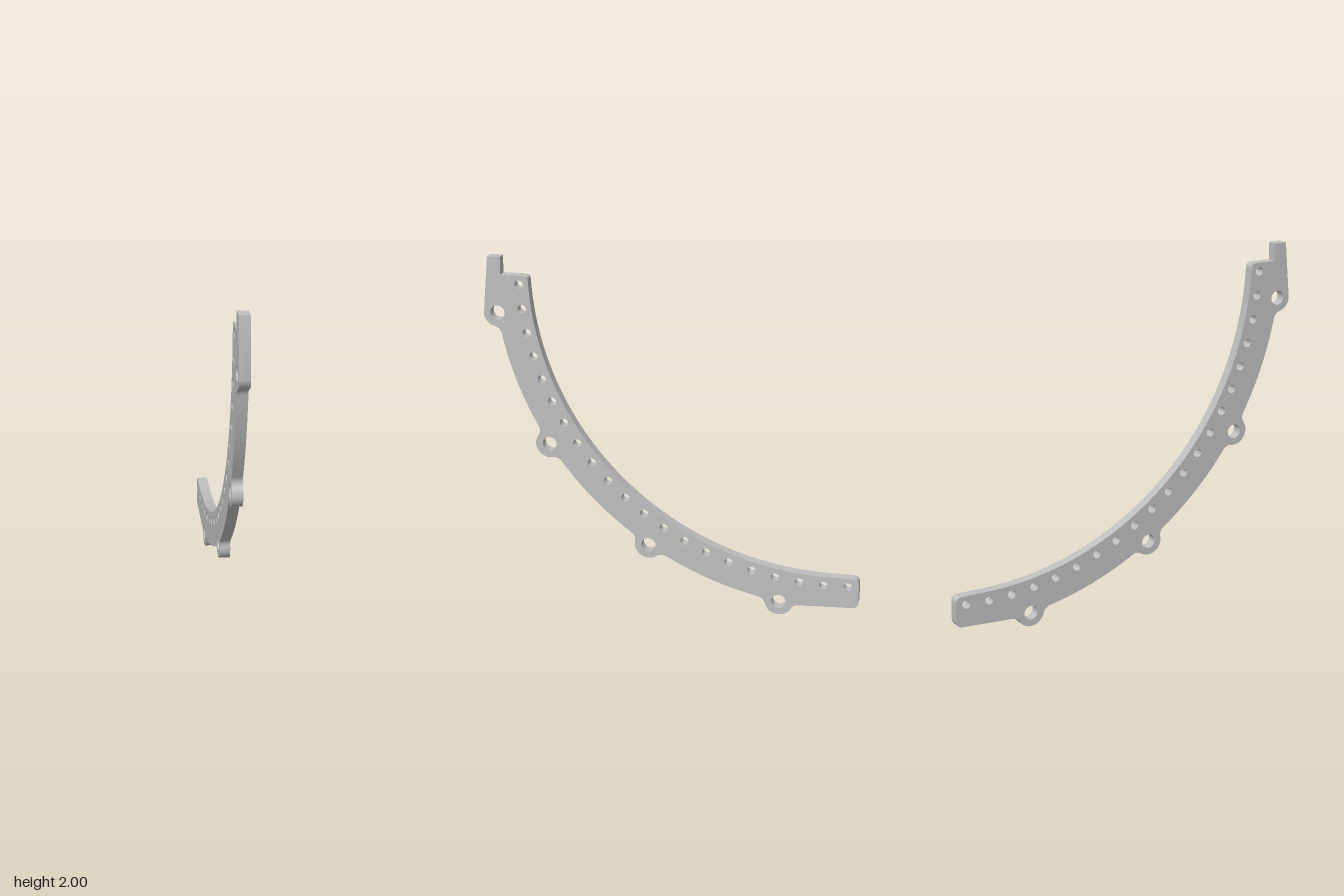
import * as THREE from 'three';
import { toCreasedNormals } from 'three/addons/utils/BufferGeometryUtils.js';

const CX = -0.88, CY = 1.95;            // centre of the curved plate
const R_IN = 1.693, R_HOLES = 1.747, R_OUT = 1.89;
const LUG_R = 0.08, FILLET = 0.05, THICK = 0.06;
const deg = Math.PI / 180;
const lugAngles = [8.1, 32.7, 57.3, 81.9].map((a) => a * deg);

// Point at an angle measured from straight down, turning towards +x
const polar = (a, r) => new THREE.Vector2(CX + r * Math.sin(a), CY - r * Math.cos(a));

// Rounded lug with concave fillets, as points on the outer edge
function lugPoints(angle, half) {
  const reach = Math.sqrt((LUG_R + FILLET) ** 2 - FILLET ** 2);
  const phi = Math.atan2(FILLET, reach);
  const local = [];
  const arc = (x, y, r, from, to, n) => {
    for (let i = 0; i <= n; i++) {
      const a = from + (to - from) * i / n;
      local.push([x + r * Math.cos(a), y + r * Math.sin(a)]);
    }
  };
  arc(-reach, FILLET, FILLET, -Math.PI / 2, -phi, 6);
  arc(0, 0, LUG_R, Math.PI - phi, half ? Math.PI / 2 : phi, half ? 10 : 18);
  if (!half) arc(reach, FILLET, FILLET, Math.PI + phi, Math.PI * 1.5, 6);
  return local.map(([t, h]) => polar(angle + t / R_OUT, R_OUT + h));
}

function addHole(shape, p, r) {
  const hole = new THREE.Path();
  hole.absarc(p.x, p.y, r, 0, Math.PI * 2, true);
  shape.holes.push(hole);
}

function plateShape() {
  const s = new THREE.Shape();
  const left = -1.066, low = 0.08, high = CY - R_IN, c = 0.04;
  s.moveTo(left + c, low);
  // Outer edge with four lugs, the last running into the end tab
  lugAngles.forEach((a, i) => {
    lugPoints(a, i === 3).forEach((p) => s.lineTo(p.x, p.y));
    if (i < 3) {
      const from = a + 0.075, to = lugAngles[i + 1] - 0.075;
      for (let k = 0; k <= 10; k++) {
        const p = polar(from + (to - from) * k / 10, R_OUT);
        s.lineTo(p.x, p.y);
      }
    }
  });
  // End tab and step
  s.lineTo(1.04, 2);
  s.lineTo(0.967, 2);
  s.lineTo(0.967, 1.9);
  s.lineTo(0.84, 1.9);
  s.quadraticCurveTo(0.811, 1.9, 0.811, 1.87);
  // Inner edge back to the straight end
  for (let i = 0; i <= 48; i++) {
    const p = polar(87.2 * deg * (1 - i / 48), R_IN);
    s.lineTo(p.x, p.y);
  }
  s.lineTo(left + c, high);
  s.quadraticCurveTo(left, high, left, high - c);
  s.lineTo(left, low + c);
  s.quadraticCurveTo(left, low, left + c, low);

  // Row of small holes and one larger hole in each lug
  for (let i = 0; i < 21; i++) addHole(s, polar((-4.1 + 4.54 * i) * deg, R_HOLES), 0.024);
  lugAngles.forEach((a) => addHole(s, polar(a, R_OUT), 0.041));
  return s;
}

export function createModel() {
  const grey = new THREE.MeshStandardMaterial({ color: 0xbfbfbf });
  grey.name = 'light grey';

  const geometry = new THREE.ExtrudeGeometry(plateShape(), {
    depth: THICK, bevelEnabled: false, curveSegments: 12,
  });
  geometry.translate(0, 0, -THICK / 2);

  const plate = new THREE.Mesh(toCreasedNormals(geometry, 35 * deg), grey);
  plate.name = 'curvedPlate';
  plate.rotation.y = -0.575;

  const model = new THREE.Group();
  model.name = 'curvedBracket';
  model.add(plate);
  return model;
}
